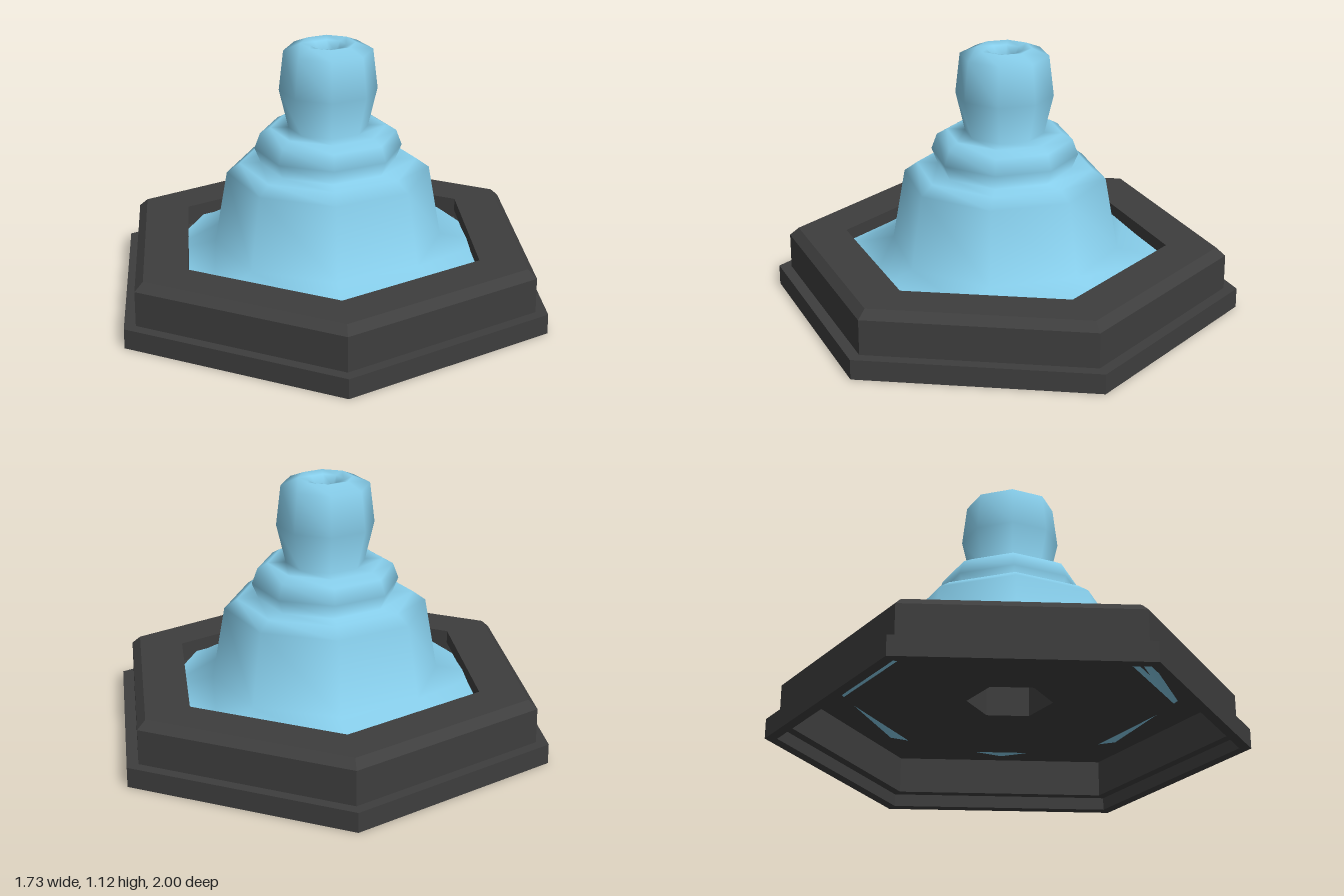
import * as THREE from 'three';

const DARK = 0x3e3e3e, BLUE = 0x87ceeb;

// Revolved part with few sides; a corner always points to +z
function lathe(name, points, sides, color, options) {
  const geometry = new THREE.LatheGeometry(points.map(([r, y]) => new THREE.Vector2(r, y)), sides);
  const mesh = new THREE.Mesh(geometry, new THREE.MeshStandardMaterial({ color, ...options }));
  mesh.name = name;
  return mesh;
}

export function createModel() {
  const group = new THREE.Group();
  group.name = 'buttonOnHexBase';

  // Stepped hexagonal frame, hollow underneath, open in the middle
  group.add(lathe('hexFrame', [
    [1, 0], [1, 0.085], [0.945, 0.085], [0.945, 0.235], [0.905, 0.27],
    [0.693, 0.27], [0.693, 0.215], [0.905, 0.215], [0.905, 0.055], [0.95, 0.055], [0.95, 0], [1, 0],
  ], 6, DARK, { flatShading: true }));

  // Floor plate with a straight hexagonal shaft that narrows near the top
  group.add(lathe('floorPlate', [
    [0.693, 0.185], [0.18, 0.185], [0.18, 0.7], [0.045, 0.8], [0.045, 0.98],
  ], 6, DARK, { flatShading: true, side: THREE.DoubleSide }));

  // Smooth eight-sided knob: flared skirt, collar, head and dimpled top
  group.add(lathe('knob', [
    [0.703, 0.205], [0.485, 0.25], [0.43, 0.56], [0.375, 0.6],
    [0.285, 0.6], [0.312, 0.665], [0.288, 0.73], [0.245, 0.755],
    [0.168, 0.755], [0.207, 0.92], [0.187, 1.09], [0.115, 1.12],
    [0.075, 1.11], [0.047, 1.07], [0.047, 0.98],
  ], 8, BLUE, { side: THREE.DoubleSide }));

  return group;
}
